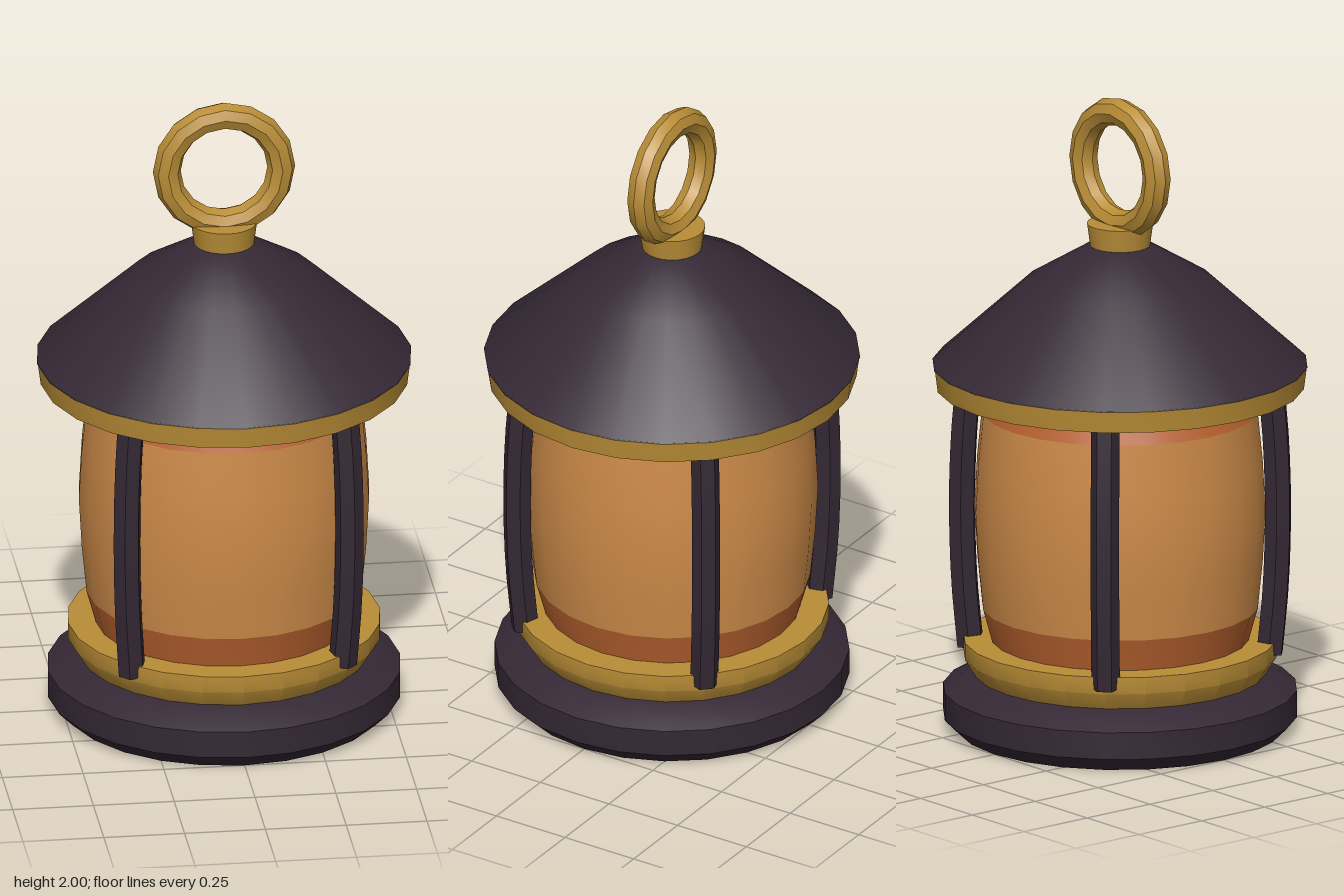
import * as THREE from 'three';
import { toCreasedNormals } from 'three/addons/utils/BufferGeometryUtils.js';

const SIDES = 24;
const CREASE = 0.6;

function makeMaterial(name, color) {
  const material = new THREE.MeshStandardMaterial({ color });
  material.name = name;
  return material;
}

export function createModel() {
  const lantern = new THREE.Group();
  lantern.name = 'lantern';

  const darkIron = makeMaterial('dark iron', 0x342834);
  const brass = makeMaterial('brass', 0xb98d36);
  const amberGlass = makeMaterial('amber glass', 0xcc8a48);
  const deepGlass = makeMaterial('deep orange glass', 0xb8622f);

  function add(name, geometry, material) {
    const mesh = new THREE.Mesh(toCreasedNormals(geometry, CREASE), material);
    mesh.name = name;
    lantern.add(mesh);
    return mesh;
  }

  // Profiles run from bottom to top as [radius, height]
  function turned(name, profile, material) {
    const points = profile.map(([r, y]) => new THREE.Vector2(r, y));
    return add(name, new THREE.LatheGeometry(points, SIDES), material);
  }

  // Foot and the brass collar that holds the glass
  turned('base', [[0, 0], [0.5, 0], [0.545, 0.045], [0.545, 0.13], [0.45, 0.18], [0, 0.18]], darkIron);
  turned('collar', [[0, 0.175], [0.445, 0.175], [0.482, 0.235], [0.482, 0.288], [0, 0.288]], brass);

  // Bulging glass with darker bands at both ends
  turned('lowerGlassBand', [[0.39, 0.26], [0.397, 0.288], [0.425, 0.39]], deepGlass);
  turned('glass', [[0.425, 0.39], [0.44, 0.54], [0.449, 0.7], [0.44, 0.86], [0.425, 1.01]], amberGlass);
  turned('upperGlassBand', [[0.425, 1.01], [0.397, 1.09], [0.39, 1.11]], deepGlass);

  // Brim, roof and top cap
  turned('brim', [[0, 1.09], [0.567, 1.09], [0.576, 1.16], [0, 1.16]], brass);
  turned('roof', [[0.578, 1.158], [0.285, 1.425], [0.1, 1.535], [0, 1.535]], darkIron);
  turned('cap', [[0, 1.53], [0.092, 1.53], [0.102, 1.605], [0, 1.605]], brass);

  // Four bowed guard bars on the diagonals
  const barPath = new THREE.CatmullRomCurve3([
    new THREE.Vector3(0.461, 0.25, 0),
    new THREE.Vector3(0.48, 0.46, 0),
    new THREE.Vector3(0.487, 0.7, 0),
    new THREE.Vector3(0.481, 0.92, 0),
    new THREE.Vector3(0.464, 1.12, 0),
  ]);
  for (let i = 0; i < 4; i++) {
    const angle = Math.PI / 4 + (i * Math.PI) / 2;
    const bar = add('guardBar', new THREE.TubeGeometry(barPath, 10, 0.044, 6), darkIron);
    bar.rotation.y = angle;

    // Close the exposed lower end
    const end = new THREE.Mesh(new THREE.CircleGeometry(0.044, 6), darkIron);
    end.name = 'guardBarEnd';
    end.rotation.x = Math.PI / 2;
    end.position.set(0.461, 0.251, 0);
    bar.add(end);
  }

  // Carrying ring
  const ring = add('ring', new THREE.TorusGeometry(0.177, 0.043, 8, 16), brass);
  ring.position.y = 1.78;

  return lantern;
}
